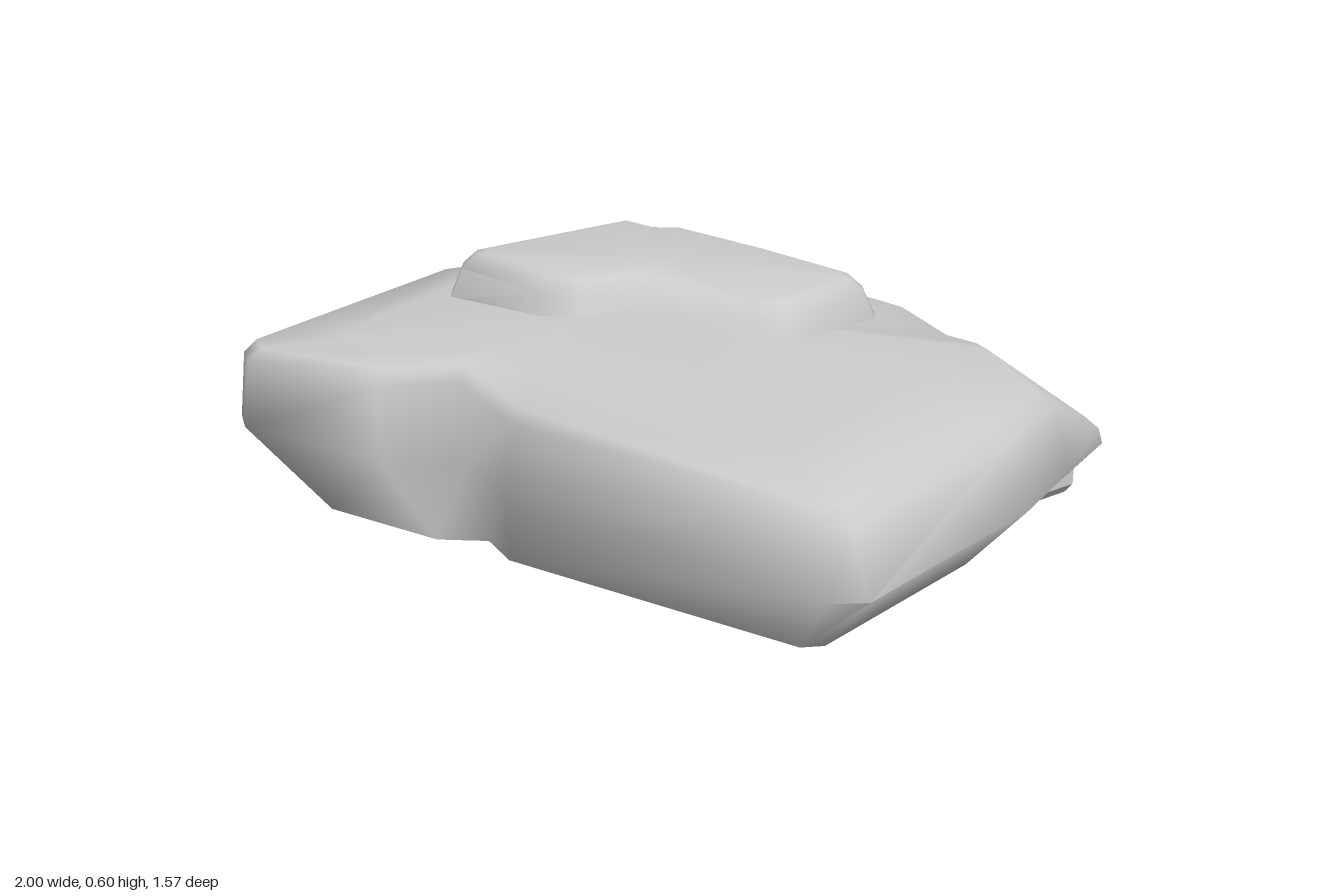
import * as THREE from 'three';
import { toCreasedNormals } from 'three/addons/utils/BufferGeometryUtils.js';

const mix = (a, b, t) => a.map((v, i) => v + (b[i] - v) * t);

// Height of the main slab's gently peaked top.
const crown = (x, z) => 0.497 - 0.09 * Math.max(0, x + 0.15) - 0.015 * Math.max(0, -0.15 - x) - 0.055 * Math.abs(z);

// Skin a stack of rings (bottom to top, clockwise from above); each end is
// closed by a fan when its centre point is given.
function loft(name, rings, low, high, crease) {
  const n = rings[0].length, last = rings.length - 1;
  const points = rings.flat(), index = [];
  const iLow = low && points.push(low) - 1;
  const iHigh = high && points.push(high) - 1;
  for (let i = 0; i < n; i++) {
    const j = (i + 1) % n;
    for (let r = 0; r < last; r++) {
      const a = r * n, b = a + n;
      index.push(a + j, a + i, b + i, a + j, b + i, b + j);
    }
    if (low) index.push(iLow, i, j);
    if (high) index.push(iHigh, last * n + j, last * n + i);
  }
  const g = new THREE.BufferGeometry();
  g.setAttribute('position', new THREE.Float32BufferAttribute(points.flat(), 3));
  g.setIndex(index);
  const mesh = new THREE.Mesh(toCreasedNormals(g, crease), new THREE.MeshStandardMaterial({ color: 0xcccccc }));
  mesh.name = name;
  return mesh;
}

// Each row runs up one side of the slab: foot, widest point, top edge.
function mainSlab() {
  const rows = [
    [-0.70, 0.02, -0.10, -1.00, 0.23, -0.10, -0.95, 0.45, -0.10],
    [-0.62, 0.02, -0.22, -0.80, 0.17, -0.62, -0.76, 0.44, -0.60],
    [-0.50, 0.02, -0.28, -0.72, 0.17, -0.68, -0.68, 0.445, -0.65],
    [0.00, 0.02, -0.42, -0.10, 0.21, -0.725, -0.10, 0.45, -0.68],
    [0.35, 0.03, -0.47, 0.30, 0.19, -0.715, 0.30, 0.42, -0.66],
    [0.72, 0.08, -0.60, 0.84, 0.13, -0.715, 0.83, 0.18, -0.695],
    [0.78, 0.08, -0.58, 0.89, 0.14, -0.68, 0.88, 0.19, -0.67],
    [0.84, 0.04, -0.35, 0.95, 0.17, -0.35, 0.90, 0.37, -0.33],
    [0.86, 0.02, 0.00, 1.00, 0.18, -0.03, 0.93, 0.37, -0.03],
    [0.84, 0.03, 0.60, 0.97, 0.18, 0.63, 0.91, 0.37, 0.62],
    [0.80, 0.03, 0.64, 0.90, 0.18, 0.69, 0.87, 0.37, 0.67],
    [-0.03, 0.03, 0.66, 0.02, 0.22, 0.72, 0.02, 0.435, 0.69],
    [-0.15, 0.03, 0.60, -0.20, 0.23, 0.61, -0.26, 0.45, 0.57],
    [-0.26, 0.03, 0.67, -0.38, 0.22, 0.73, -0.42, 0.445, 0.70],
    [-0.60, 0.04, 0.70, -0.82, 0.24, 0.78, -0.82, 0.44, 0.75],
    [-0.68, 0.04, 0.66, -0.90, 0.24, 0.72, -0.88, 0.445, 0.71],
  ];
  const peak = [-0.15, crown(-0.15, 0), 0];
  const foot = rows.map(r => r.slice(0, 3));
  const mid = rows.map(r => r.slice(3, 6));
  const top = rows.map(r => r.slice(6));
  // Inner ring keeps the top flat, so only the back left corner drops away.
  const inner = top.map(p => {
    const [x, , z] = mix(p, peak, 0.25);
    return [x, crown(x, z), z];
  });
  const slab = new THREE.Group();
  slab.name = 'mainSlab';
  slab.add(
    loft('slabBody', [
      foot, mid,
      top.map((p, i) => mix(p, mid[i], 0.15)),
      top.map((p, i) => mix(p, inner[i], 0.12)),
      inner,
    ], null, peak, 1.2),
    loft('slabUnderside', [foot], [0, 0, 0.1], null, 1.2),
  );
  return slab;
}

// Each row: base x, z and top x, z.
function upperSlab() {
  const rows = [
    [-0.60, -0.53, -0.52, -0.43], [-0.52, -0.53, -0.42, -0.43],
    [-0.47, -0.61, -0.37, -0.48], [-0.10, -0.60, -0.09, -0.48],
    [0.26, -0.54, 0.21, -0.46], [0.30, -0.48, 0.25, -0.42],
    [0.28, -0.08, 0.23, -0.12], [0.22, -0.02, 0.18, -0.07],
    [-0.14, 0.03, -0.18, -0.02], [-0.22, 0.15, -0.25, 0.10],
    [-0.32, 0.19, -0.33, 0.14], [-0.66, 0.17, -0.59, 0.13],
    [-0.70, 0.12, -0.62, 0.09],
  ];
  const topY = x => 0.565 - 0.06 * x;
  const centre = [-0.18, 0.585, -0.18];
  const foot = rows.map(([x, z]) => [x, crown(x, z) - 0.01, z]);
  const top = rows.map(([, , u, w]) => [u, topY(u), w]);
  const shoulder = foot.map((p, i) => {
    const [x, , z] = mix(p, top[i], 0.45);
    return [x, topY(x) - 0.045, z];
  });
  return loft('upperSlab', [
    foot, shoulder,
    top.map((p, i) => mix(p, shoulder[i], 0.12)),
    top.map(p => mix(p, centre, 0.05)),
  ], null, centre, 0.8);
}

// Small flat stone tucked under the back corner.
function looseChip() {
  const outline = [
    [0.36, -0.78], [0.47, -0.785], [0.74, -0.73], [0.85, -0.60],
    [0.80, -0.45], [0.60, -0.38], [0.36, -0.42], [0.345, -0.68],
  ];
  const centre = [0.58, 0, -0.58];
  const ring = (inset, y, tilt) => outline.map(([x, z]) => {
    const p = mix([x, 0, z], centre, inset);
    p[1] = y - tilt * (p[2] + 0.38);
    return p;
  });
  return loft('looseChip', [
    ring(0.08, 0.003, 0.045), ring(0, 0.03, 0.045), ring(0, 0.072, 0.05), ring(0.08, 0.082, 0.045),
  ], [0.58, 0.01, -0.58], [0.58, 0.093, -0.58], 0.6);
}

export function createModel() {
  const group = new THREE.Group();
  group.name = 'layeredRock';
  group.add(mainSlab(), upperSlab(), looseChip());
  return group;
}
